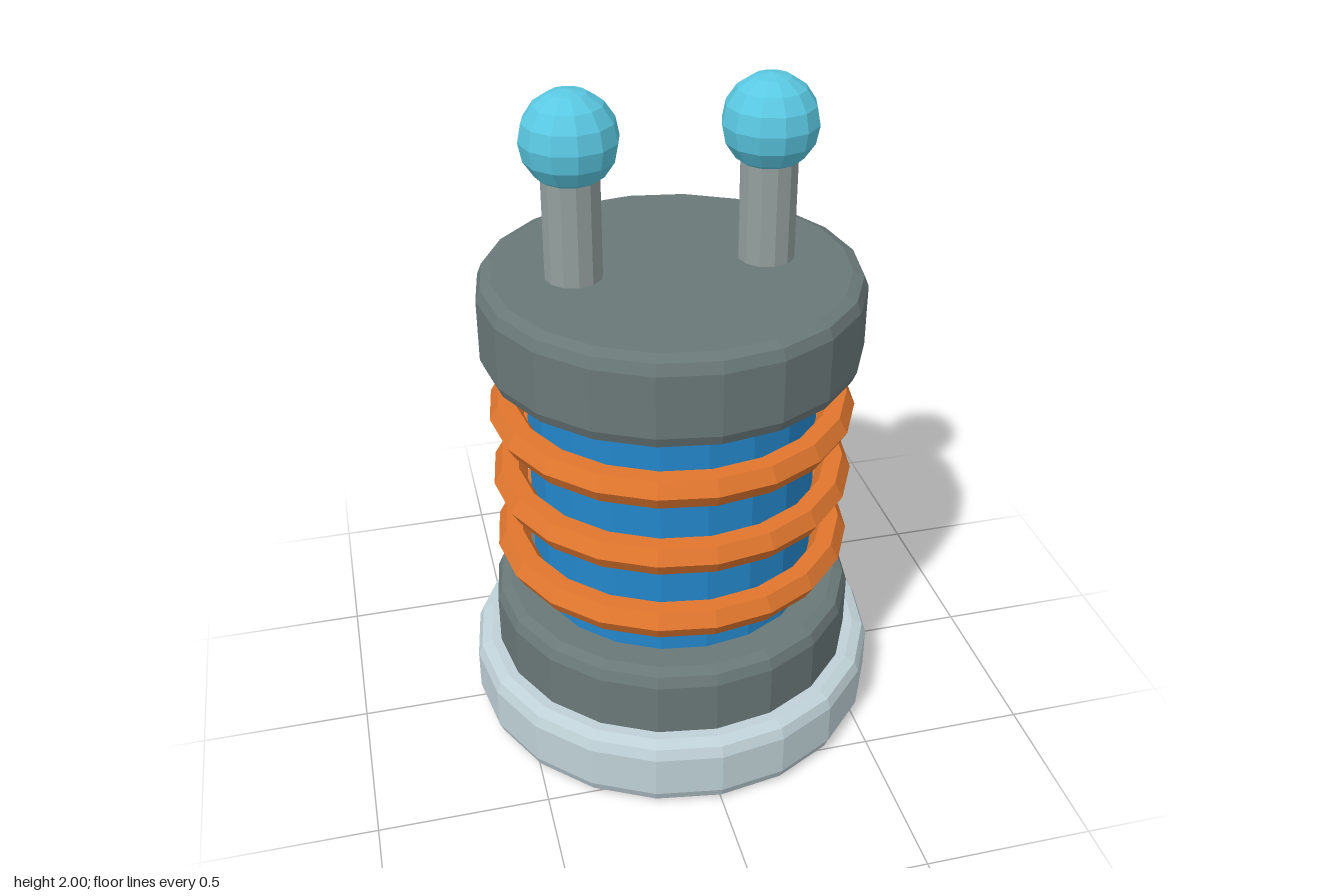
import * as THREE from 'three';

const paint = (name, color) => {
  const m = new THREE.MeshStandardMaterial({ color, flatShading: true });
  m.name = name;
  return m;
};

export function createModel() {
  const model = new THREE.Group();
  model.name = 'coilDevice';
  const paleMetal = paint('paleMetal', 0xbfd1d7);
  const darkMetal = paint('darkMetal', 0x6a7878);
  const midMetal = paint('midMetal', 0x939f9e);
  const blue = paint('coreBlue', 0x2487cb);
  const copper = paint('copper', 0xe0762e);
  const cyan = paint('terminalCyan', 0x5ac8e2);
  const SIDES = 20;

  const add = (name, geometry, material, x = 0, y = 0) => {
    const mesh = new THREE.Mesh(geometry, material);
    mesh.name = name;
    mesh.position.set(x, y, 0);
    model.add(mesh);
    return mesh;
  };

  // Solid disc with a two-step rounded rim
  const disc = (r, y0, y1, b = 0.045) => {
    const a = b * (1 - Math.SQRT1_2);
    const profile = [
      [0, y0], [r - b, y0], [r - a, y0 + a], [r, y0 + b],
      [r, y1 - b], [r - a, y1 - a], [r - b, y1], [0, y1],
    ].map(([x, y]) => new THREE.Vector2(x, y));
    return new THREE.LatheGeometry(profile, SIDES);
  };

  // Stacked body
  add('base', disc(0.63, 0, 0.22), paleMetal);
  add('lowerCap', disc(0.555, 0.16, 0.43), darkMetal);
  add('core', new THREE.CylinderGeometry(0.43, 0.43, 0.86, SIDES), blue, 0, 0.81);
  add('upperCap', disc(0.555, 1.19, 1.464), darkMetal);

  // Hexagonal-section coil rings
  for (const y of [0.589, 0.812, 1.034]) {
    const ring = new THREE.TorusGeometry(0.49, 0.05, 6, SIDES);
    ring.rotateX(Math.PI / 2);
    add('coilRing', ring, copper, 0, y);
  }

  // Pair of terminals
  for (const [side, x] of [['right', -0.278], ['left', 0.278]]) {
    add(side + 'TerminalPost', new THREE.CylinderGeometry(0.082, 0.082, 0.4, 12), midMetal, x, 1.6);
    add(side + 'TerminalBall', new THREE.SphereGeometry(0.137, 12, 8), cyan, x, 1.863);
  }
  return model;
}
